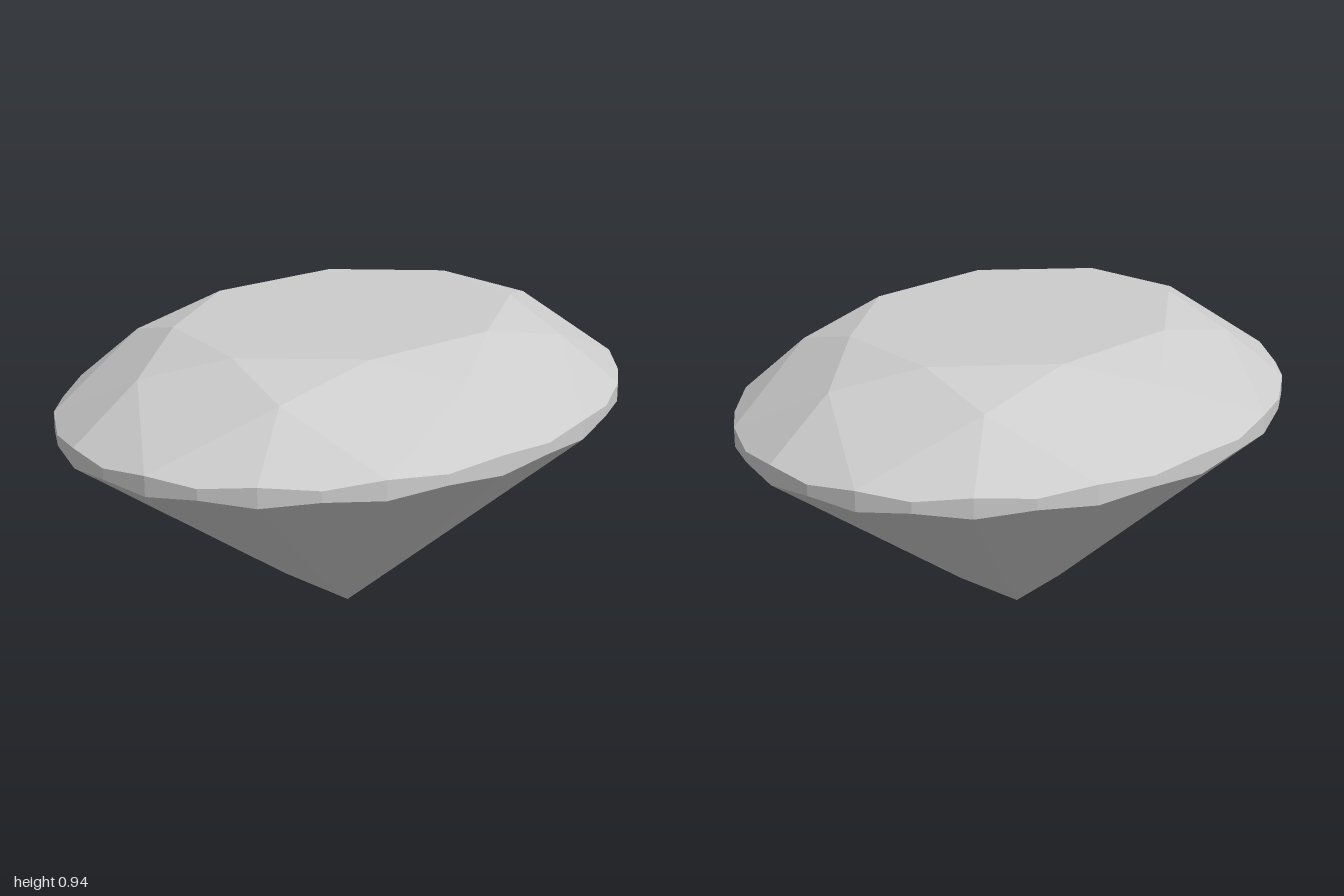
import * as THREE from 'three';

const WIDTH = 0.77;                       // oval: x is narrower than z
const TABLE = { r: 0.6, y: 0.935 };       // flat octagonal top
const STAR = { r: 0.78, y: 0.87 };        // side corners of the crown kites
const TOP = { r: 1, y: 0.722 };           // upper girdle edge at its peaks
const TOP_DIP = { r: 1, y: 0.709 };
const LOW = { r: 1, y: 0.665 };           // lower girdle edge at its peaks
const LOW_DIP = { r: 1, y: 0.678 };
const TIP = { r: 0, y: 0 };
const KEEL = { r: 0.26, y: 0.26 * Math.cos(Math.PI / 8) * LOW.y }; // side corners of the lower kites

// Point on a ring; step counts 32nds of a turn from the front towards +x
function at(ring, step) {
  const a = (step / 32) * Math.PI * 2;
  return [WIDTH * ring.r * Math.sin(a), ring.y, ring.r * Math.cos(a)];
}

// Flat facets, each a convex polygon with corners counter-clockwise from outside
function facetMesh(name, facets, material) {
  const positions = [];
  for (const f of facets) {
    for (let i = 1; i < f.length - 1; i++) positions.push(...f[0], ...f[i], ...f[i + 1]);
  }
  const geometry = new THREE.BufferGeometry();
  geometry.setAttribute('position', new THREE.Float32BufferAttribute(positions, 3));
  geometry.computeVertexNormals();
  const mesh = new THREE.Mesh(geometry, material);
  mesh.name = name;
  return mesh;
}

export function createModel() {
  const gem = new THREE.MeshStandardMaterial({ color: 0xcccccc });
  gem.name = 'clear grey';

  const table = [[]], stars = [], crownKites = [], upperHalves = [];
  const girdle = [], pavilionKites = [], lowerHalves = [];

  // Eight-fold symmetry: each sector is centred on a kite
  for (let s = 0; s < 32; s += 4) {
    table[0].push(at(TABLE, s));
    stars.push([at(TABLE, s), at(STAR, s + 2), at(TABLE, s + 4)]);
    crownKites.push([at(TOP, s), at(STAR, s + 2), at(TABLE, s), at(STAR, s - 2)]);
    pavilionKites.push([at(TIP, s), at(KEEL, s + 2), at(LOW, s), at(KEEL, s - 2)]);

    // Two halves on either side of each star corner
    for (const k of [s, s + 2]) {
      upperHalves.push([at(TOP, k), at(TOP_DIP, k + 1), at(TOP, k + 2), at(STAR, s + 2)]);
      lowerHalves.push([at(KEEL, s + 2), at(LOW, k + 2), at(LOW_DIP, k + 1), at(LOW, k)]);
      girdle.push([at(LOW, k), at(LOW_DIP, k + 1), at(TOP_DIP, k + 1), at(TOP, k)]);
      girdle.push([at(LOW_DIP, k + 1), at(LOW, k + 2), at(TOP, k + 2), at(TOP_DIP, k + 1)]);
    }
  }

  const model = new THREE.Group();
  model.name = 'ovalGem';
  model.add(
    facetMesh('table', table, gem),
    facetMesh('starFacets', stars, gem),
    facetMesh('crownKites', crownKites, gem),
    facetMesh('upperGirdleFacets', upperHalves, gem),
    facetMesh('girdle', girdle, gem),
    facetMesh('lowerGirdleFacets', lowerHalves, gem),
    facetMesh('pavilionKites', pavilionKites, gem),
  );
  return model;
}
